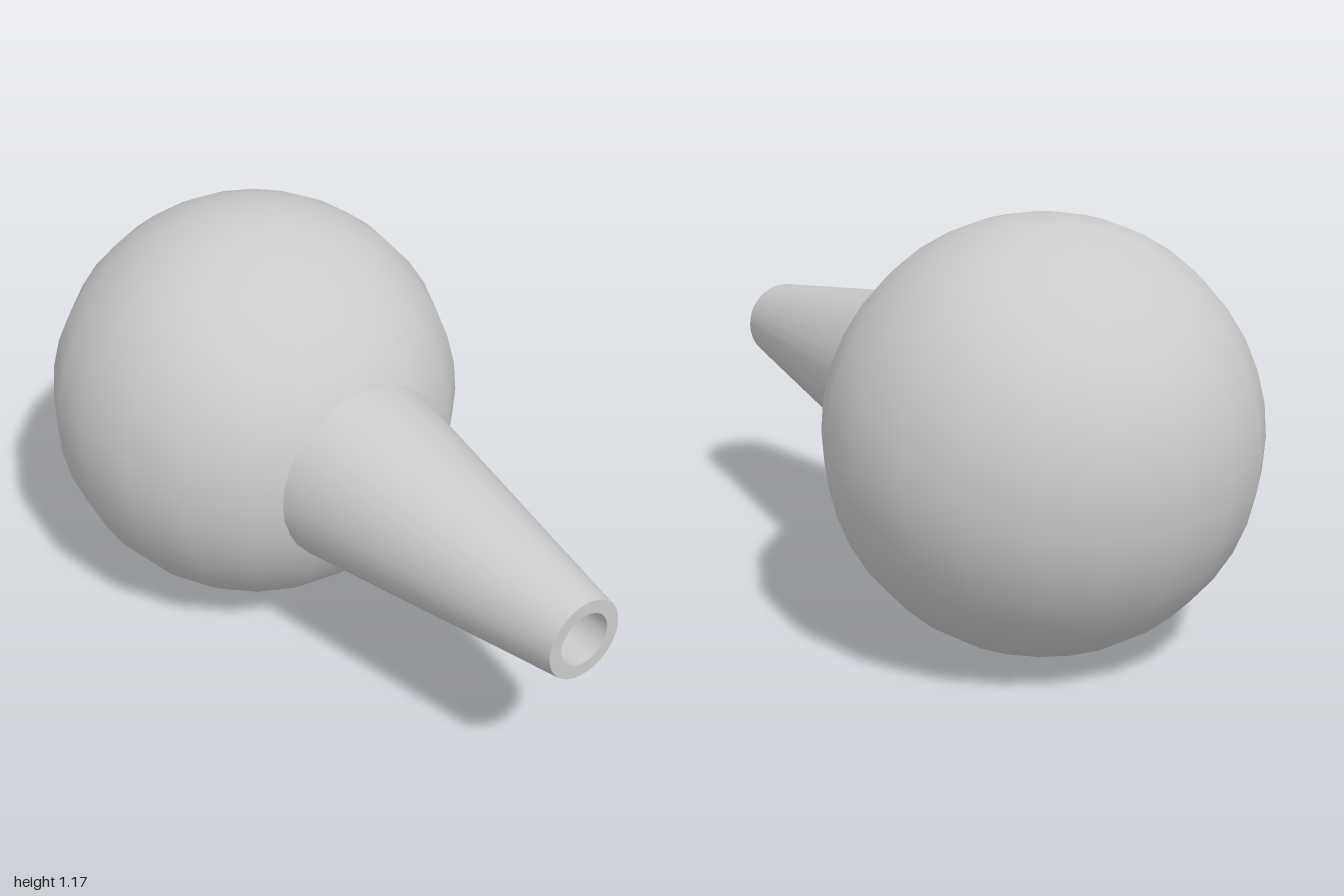
import * as THREE from 'three';
import { toCreasedNormals } from 'three/addons/utils/BufferGeometryUtils.js';

const R = 0.585;

export function createModel() {
  const group = new THREE.Group();
  const material = new THREE.MeshStandardMaterial({ color: 0xcccccc });

  // Round bulb resting on the ground
  const bulb = new THREE.Mesh(new THREE.SphereGeometry(R, 20, 20), material);
  bulb.name = 'bulb';
  bulb.position.set(-1 + R, R, 0);
  group.add(bulb);

  // Tapered nozzle: outer wall, flat rim, then the bore back down to the bulb
  const profile = [
    [0.285, 0], [0.115, 1], [0.077, 1], [0.077, 0.1],
  ].map(([r, y]) => new THREE.Vector2(r, y));
  const geometry = toCreasedNormals(new THREE.LatheGeometry(profile, 32), Math.PI / 5);
  const nozzle = new THREE.Mesh(geometry, material);
  nozzle.name = 'nozzle';
  nozzle.rotation.z = -Math.PI / 2;
  nozzle.position.y = R;
  group.add(nozzle);

  return group;
}
